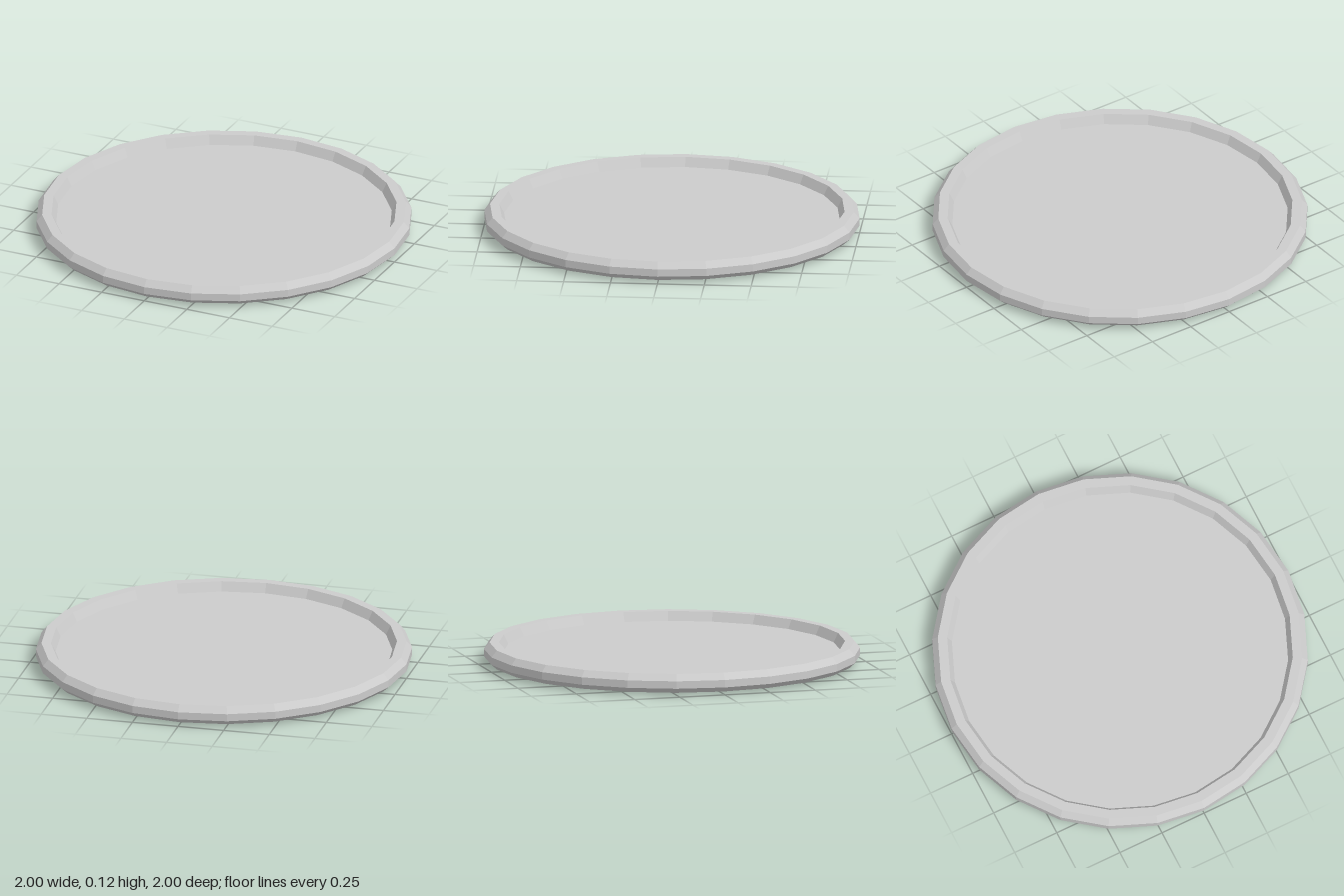
import * as THREE from 'three';

const SIDES = 24;

// Faceted ring or disc turned from a list of [radius, height] points
function turned(name, profile) {
  const points = profile.map(([r, y]) => new THREE.Vector2(r, y));
  const material = new THREE.MeshStandardMaterial({ color: 0xcccccc, flatShading: true });
  const mesh = new THREE.Mesh(new THREE.LatheGeometry(points, SIDES), material);
  mesh.name = name;
  return mesh;
}

export function createModel() {
  const plate = new THREE.Group();
  plate.name = 'plate';

  // Flat underside with a soft bevel
  plate.add(turned('base', [[0, 0], [0.89, 0], [0.97, 0.013], [1, 0.04]]));

  // Raised rim: outer wall, chamfer, flat top, sloping inner wall
  plate.add(turned('rim', [[1, 0.04], [1, 0.08], [0.97, 0.115], [0.92, 0.115], [0.895, 0.066]]));

  // Recessed floor, very slightly domed
  plate.add(turned('floor', [[0.895, 0.066], [0, 0.07]]));

  return plate;
}
